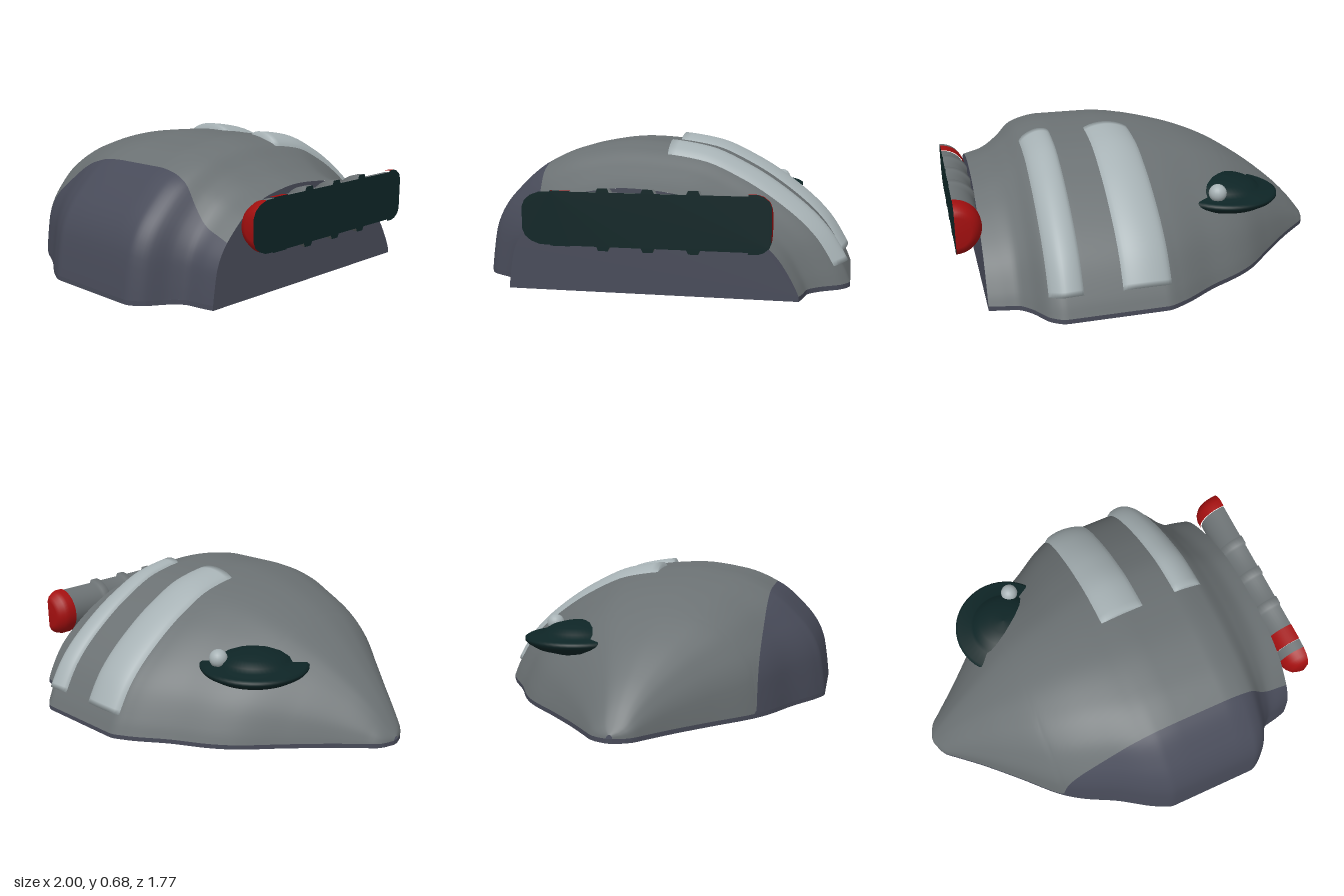
import * as THREE from 'three';

const mat = (name, color, side = THREE.FrontSide) => {
  const m = new THREE.MeshStandardMaterial({ color, side });
  m.name = name;
  return m;
};

// Smooth monotone interpolation through a list of [position, value] pairs
function curve(pts) {
  const d = pts.slice(1).map((p, i) => (p[1] - pts[i][1]) / (p[0] - pts[i][0]));
  const m = pts.map((p, i) => {
    if (i === 0) return d[0];
    if (i === pts.length - 1) return d[i - 1];
    return d[i - 1] * d[i] <= 0 ? 0 : (2 * d[i - 1] * d[i]) / (d[i - 1] + d[i]);
  });
  return (x) => {
    let i = 0;
    while (i < pts.length - 2 && x > pts[i + 1][0]) i++;
    const h = pts[i + 1][0] - pts[i][0];
    const t = Math.min(1, Math.max(0, (x - pts[i][0]) / h));
    const t2 = t * t, t3 = t2 * t;
    return (2 * t3 - 3 * t2 + 1) * pts[i][1] + (t3 - 2 * t2 + t) * h * m[i]
      + (3 * t2 - 2 * t3) * pts[i + 1][1] + (t3 - t2) * h * m[i + 1];
  };
}

const BASE = 0.022, NOSE = -1, TAIL = 0.88, SPLIT = 0.582;

// Hull half-width and height along x, and the shared cross-section
const halfWidth = curve([[-1, 0.015], [-0.99, 0.05], [-0.965, 0.095], [-0.92, 0.135], [-0.8, 0.24],
  [-0.64, 0.395], [-0.46, 0.575], [-0.36, 0.645], [-0.2, 0.73], [0, 0.855], [0.08, 0.885], [0.55, 0.885],
  [0.62, 0.85], [0.69, 0.745], [0.75, 0.693], [0.82, 0.68], [0.88, 0.665]]);
const height = curve([[-1, 0.04], [-0.9, 0.165], [-0.8, 0.262], [-0.6, 0.415], [-0.4, 0.53], [-0.2, 0.602],
  [0, 0.642], [0.2, 0.662], [0.45, 0.662], [0.6, 0.63], [0.7, 0.56], [0.8, 0.5], [0.88, 0.48]]);
const section = curve([[-1, 0], [-0.97, 0.1], [-0.85, 0.375], [-0.68, 0.595], [-0.45, 0.805], [-0.226, 0.94],
  [0, 0.988], [0.17, 1], [0.45, 0.95], [0.68, 0.82], [0.85, 0.61], [0.92, 0.48], [0.965, 0.33], [0.99, 0.12], [1, 0]]);

const hullPoint = (x, s) => {
  const zn = -Math.cos(Math.PI * s);
  return [x, BASE + section(zn) * (height(x) - BASE), zn * halfWidth(x)];
};

// Triangles of a grid whose columns run from c0 to c1
function gridIndex(rows, cols, c0, c1) {
  const index = [];
  for (let r = 0; r < rows - 1; r++) {
    for (let c = c0; c < c1; c++) {
      const a = r * cols + c, b = a + cols;
      index.push(a, a + 1, b, a + 1, b + 1, b);
    }
  }
  return index;
}

function gridGeometry(positions, index) {
  const g = new THREE.BufferGeometry();
  g.setAttribute('position', new THREE.Float32BufferAttribute(positions, 3));
  g.setIndex(index);
  g.computeVertexNormals();
  return g;
}

// Curved shell in two colours, parted along a constant z
function hullGeometry() {
  const rows = 141, shell = 48, panel = 20, cols = shell + panel + 1;
  const pos = [];
  for (let r = 0; r < rows; r++) {
    const x = NOSE + (TAIL - NOSE) * (r / (rows - 1));
    const cut = Math.acos(-Math.min(1, SPLIT / halfWidth(x))) / Math.PI;
    for (let c = 0; c < cols; c++) {
      const s = c <= shell ? cut * c / shell : cut + (1 - cut) * (c - shell) / panel;
      pos.push(...hullPoint(x, s));
    }
  }
  const a = gridIndex(rows, cols, 0, shell), b = gridIndex(rows, cols, shell, cols - 1);
  const g = gridGeometry(pos, a.concat(b));
  g.addGroup(0, a.length, 0);
  g.addGroup(a.length, b.length, 1);
  return g;
}

// Padded strip that follows the hull from near the crest down the back
function bandGeometry(x0, x1) {
  const rows = 17, cols = 33, pos = [];
  const sAt = (z, x) => Math.acos(-z / halfWidth(x)) / Math.PI;
  for (let r = 0; r < rows; r++) {
    const u = r / (rows - 1), x = x0 + (x1 - x0) * u;
    const arch = Math.pow(Math.max(0, 1 - (2 * u - 1) ** 2), 0.6);
    const s0 = sAt(-0.845 * halfWidth(x) / 0.885, x), s1 = sAt(-0.03, x);
    for (let c = 0; c < cols; c++) {
      const end = c === 0 || c === cols - 1;
      const v = end ? c / (cols - 1) : (c - 1) / (cols - 3);
      const s = s0 + (s1 - s0) * v;
      const p = hullPoint(x, s), e = 0.004;
      const p0 = hullPoint(x, s - e), p1 = hullPoint(x, s + e);
      const n = new THREE.Vector2(p1[2] - p0[2], p1[1] - p0[1]).normalize();
      const lift = end ? -0.03 : -0.012 + 0.042 * arch;
      pos.push(x, p[1] + n.x * lift, p[2] - n.y * lift);
    }
  }
  return gridGeometry(pos, gridIndex(rows, cols, 0, cols - 1));
}

export function createModel() {
  const model = new THREE.Group();
  const grey = mat('hull grey', 0x6b7173);
  const slate = mat('slate', 0x484b59);
  const pale = mat('pale grey', 0xa6b1b4, THREE.DoubleSide);
  const green = mat('dark green', 0x0e2526);
  const red = mat('red', 0xa30f0f);
  const add = (name, geometry, material, parent = model) => {
    const m = new THREE.Mesh(geometry, material);
    m.name = name;
    parent.add(m);
    return m;
  };

  add('hull', hullGeometry(), [grey, slate]);

  // Base plate under the hull
  const outline = [];
  for (let i = 0; i <= 100; i++) {
    const x = NOSE + (TAIL - NOSE) * i / 100;
    outline.push(new THREE.Vector2(x, halfWidth(x)));
  }
  const mirrored = outline.map((p) => new THREE.Vector2(p.x, -p.y)).reverse();
  const base = new THREE.ExtrudeGeometry(new THREE.Shape(outline.concat(mirrored)),
    { depth: BASE, bevelEnabled: false });
  base.rotateX(Math.PI / 2).translate(0, BASE, 0);
  add('basePlate', base, slate);

  // Flat end wall
  const wall = [];
  for (let i = 0; i <= 60; i++) {
    const p = hullPoint(TAIL, i / 60);
    wall.push(new THREE.Vector2(-p[2], p[1]));
  }
  add('endWall', new THREE.ShapeGeometry(new THREE.Shape(wall)).rotateY(Math.PI / 2).translate(TAIL, 0, 0), slate);

  // Padded bands
  add('wideBand', bandGeometry(0.04, 0.295), pale);
  add('narrowBand', bandGeometry(0.46, 0.63), pale);

  // Half pipe on the end wall, as [z, radius] runs
  const pipe = new THREE.Group();
  pipe.name = 'pipe';
  pipe.position.set(1, 0.355, 0);
  model.add(pipe);
  const body = [[-0.455, 0.12]];
  for (const z of [-0.22, -0.02, 0.18]) {
    body.push([z - 0.03, 0.12], [z - 0.022, 0.138], [z + 0.022, 0.138], [z + 0.03, 0.12]);
  }
  body.push([0.33, 0.12]);
  const runs = [
    ['rearCap', red, [[-0.555, 0], [-0.555, 0.075], [-0.545, 0.1], [-0.52, 0.12], [-0.495, 0.128], [-0.455, 0.128]]],
    ['pipeBody', grey, body],
    ['redCollar', red, [[0.33, 0.123], [0.42, 0.123]]],
    ['greyCollar', grey, [[0.42, 0.119], [0.47, 0.117]]],
    ['frontCap', red, [[0.47, 0.117], [0.51, 0.102], [0.537, 0.08], [0.55, 0.05], [0.55, 0]]],
  ];
  const face = [];
  for (const [name, material, pts] of runs) {
    const g = new THREE.LatheGeometry(pts.map(([z, r]) => new THREE.Vector2(r, z)), 24, Math.PI, Math.PI);
    add(name, g.rotateX(Math.PI / 2), material, pipe);
    face.push(...pts);
  }
  const upper = face.map(([z, r]) => new THREE.Vector2(-z, r));
  const lower = face.slice(1, -1).map(([z, r]) => new THREE.Vector2(-z, -r)).reverse();
  add('pipeCutFace', new THREE.ShapeGeometry(new THREE.Shape(upper.concat(lower))).rotateY(Math.PI / 2), green, pipe);

  // Domed disc half sunk in the back slope, with a small ball on it
  const discProfile = [[0, -0.08], [0.12, -0.07], [0.21, -0.042], [0.255, -0.015], [0.268, 0], [0.268, 0.012],
    [0.255, 0.02], [0.185, 0.024], [0.17, 0.045], [0.13, 0.068], [0.07, 0.084], [0, 0.09]];
  add('disc', new THREE.LatheGeometry(discProfile.map(([r, y]) => new THREE.Vector2(r, y)), 48), green)
    .position.set(-0.39, 0.345, -0.34);
  add('discBall', new THREE.SphereGeometry(0.045, 20, 14), pale).position.set(-0.295, 0.4, -0.495);

  return model;
}
